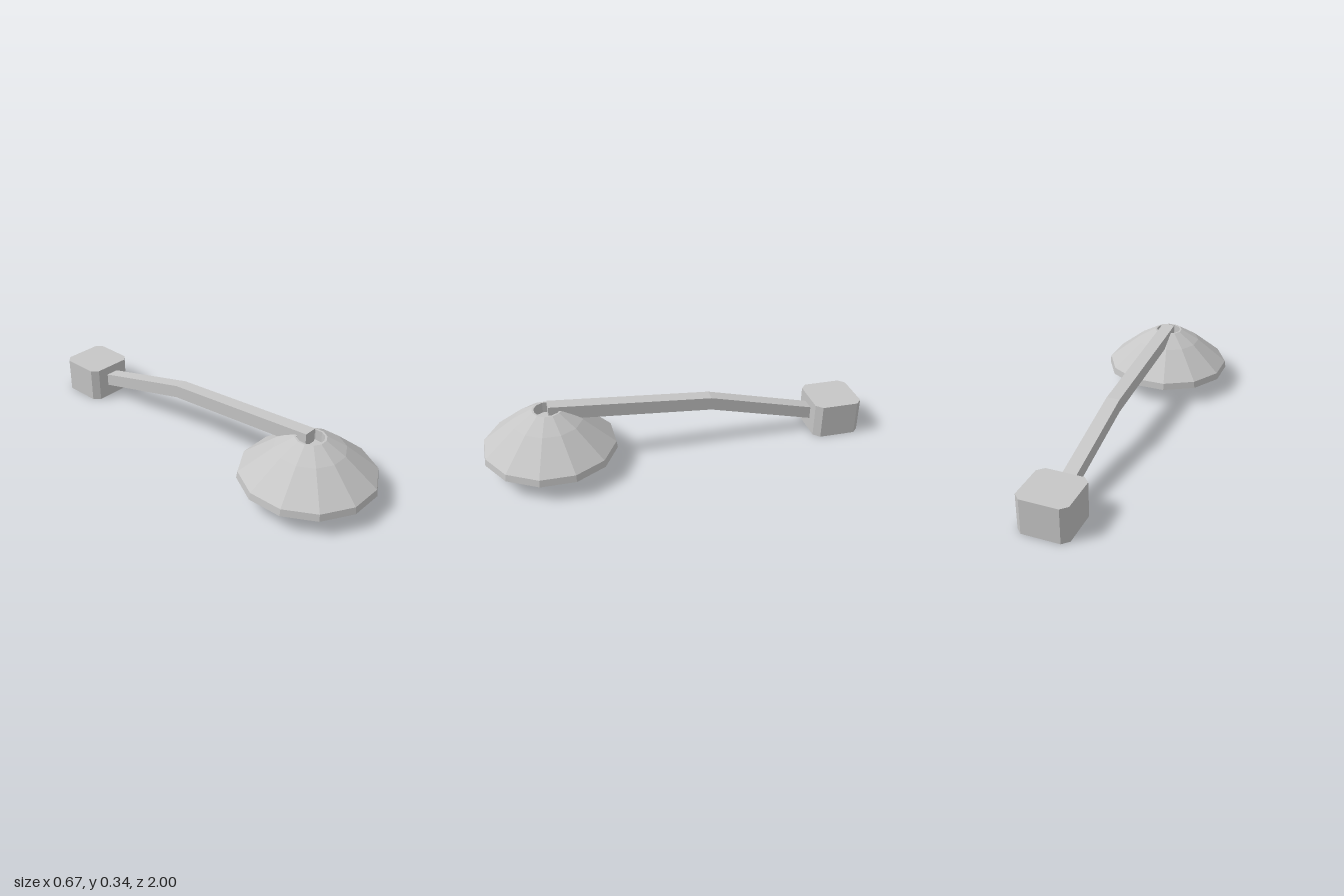
import * as THREE from 'three';

const HEAD_Z = 0.666;
const SIDES = 12;

const grey = new THREE.MeshStandardMaterial({ color: 0xc6c6c6, flatShading: true });
grey.name = 'light grey';

function addMesh(group, name, geometry) {
  const mesh = new THREE.Mesh(geometry, grey);
  mesh.name = name;
  group.add(mesh);
  return mesh;
}

// Twelve-sided lathe with flats facing the axes; profile radii are measured to the flats
function facetedLathe(profile) {
  const scale = 1 / Math.cos(Math.PI / SIDES);
  const points = profile.map(([r, y]) => new THREE.Vector2(r * scale, y));
  return new THREE.LatheGeometry(points, SIDES, Math.PI / SIDES);
}

function polygon(points) {
  return new THREE.Shape(points.map(([x, y]) => new THREE.Vector2(x, y)));
}

export function createModel() {
  const model = new THREE.Group();
  model.name = 'streetLampArm';

  // Lamp head: shade with recessed rim and open socket, plus shallow lens below
  const head = new THREE.Group();
  head.name = 'lampHead';
  head.position.z = HEAD_Z;
  model.add(head);

  addMesh(head, 'shade', facetedLathe([
    [0.302, 0.11], [0.315, 0.092], [0.333, 0.092], [0.328, 0.128],
    [0.17, 0.26], [0.075, 0.318], [0.065, 0.318], [0.065, 0.262], [0, 0.262],
  ]));
  addMesh(head, 'lens', facetedLathe([[0, 0.047], [0.155, 0.062], [0.302, 0.11]]));

  // Bent square arm, drawn in side profile (z, y) and extruded across x
  const armWidth = 0.07;
  const arm = new THREE.ExtrudeGeometry(polygon([
    [0.663, 0.275], [0.663, 0.345], [-0.18, 0.277],
    [-0.75, 0.135], [-0.75, 0.067], [-0.18, 0.208],
  ]), { depth: armWidth, bevelEnabled: false });
  arm.translate(0, 0, -armWidth / 2);
  arm.rotateY(-Math.PI / 2);
  addMesh(model, 'arm', arm);

  // Mounting block with chamfered vertical corners
  const h = 0.129, c = 0.097;
  const block = new THREE.ExtrudeGeometry(polygon([
    [h, -c], [h, c], [c, h], [-c, h], [-h, c], [-h, -c], [-c, -h], [c, -h],
  ]), { depth: 0.183, bevelEnabled: false });
  block.rotateX(-Math.PI / 2);
  addMesh(model, 'mountingBlock', block).position.z = -1 + h;

  return model;
}
